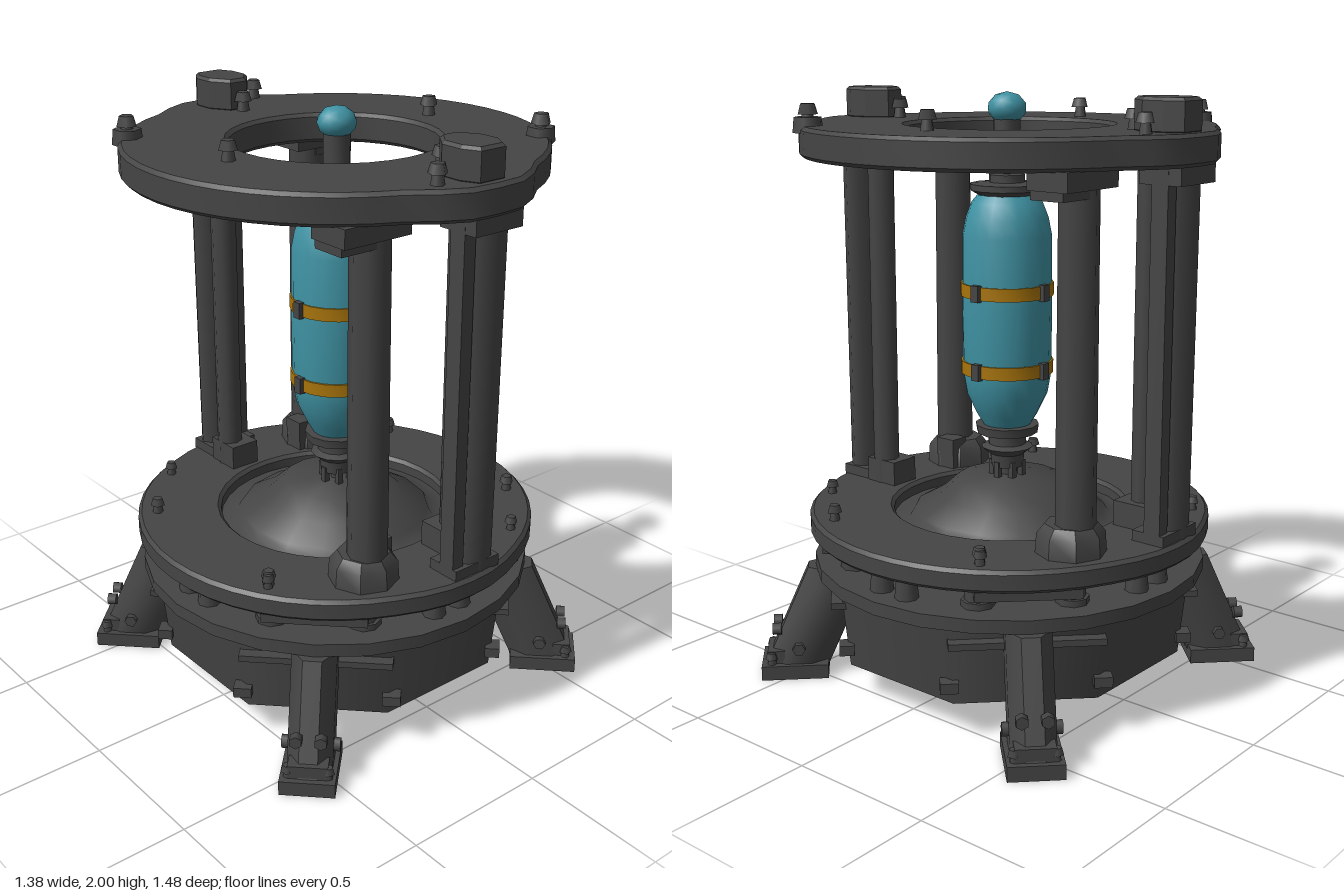
import * as THREE from 'three';
import { toCreasedNormals } from 'three/addons/utils/BufferGeometryUtils.js';

const mat = (name, color) => new THREE.MeshStandardMaterial({ name, color });

export function createModel() {
  const metal = mat('darkMetal', 0x454545);
  const teal = mat('tealGlass', 0x3f92a3);
  const amber = mat('amberBand', 0xa8740a);
  const root = new THREE.Group();
  root.name = 'containmentCapsule';

  const add = (parent, name, geo, x = 0, y = 0, z = 0, m = metal) => {
    const mesh = new THREE.Mesh(geo, m);
    mesh.name = name;
    mesh.position.set(x, y, z);
    parent.add(mesh);
    return mesh;
  };
  const group = (parent, name, angle = 0) => {
    const g = new THREE.Group();
    g.name = name;
    g.rotation.y = angle;
    parent.add(g);
    return g;
  };
  const box = (w, h, d) => new THREE.BoxGeometry(w, h, d);
  const cyl = (rt, rb, h, n = 10) => new THREE.CylinderGeometry(rt, rb, h, n);
  const lathe = (pts, n = 24, crease = 0.6) => toCreasedNormals(
    new THREE.LatheGeometry(pts.map(p => new THREE.Vector2(...p)), n), crease);
  const bolt = (parent, x, y, z, s = 1) => {
    add(parent, 'boltShank', cyl(0.014 * s, 0.022 * s, 0.05 * s, 6), x, y + 0.02 * s, z);
    add(parent, 'boltHead', cyl(0.02 * s, 0.028 * s, 0.028 * s, 5), x, y + 0.05 * s, z);
  };

  // Flat ring with lobes on the front and back of the rim
  const ring = (radius, hole, lobe, h) => {
    const b = 0.012, pts = [];
    for (let i = 0; i < 48; i++) {
      const a = i / 48 * Math.PI * 2;
      const off = Math.acos(Math.min(1, Math.abs(Math.sin(a))));
      const r = radius - b + lobe * THREE.MathUtils.clamp((0.4 - off) / 0.25, 0, 1);
      pts.push(new THREE.Vector2(Math.cos(a) * r, Math.sin(a) * r));
    }
    const s = new THREE.Shape(pts);
    s.holes.push(new THREE.Path().absarc(0, 0, hole + b, 0, Math.PI * 2, true));
    const g = new THREE.ExtrudeGeometry(s, {
      depth: h - 2 * b, bevelSize: b, bevelThickness: b, bevelSegments: 1, curveSegments: 16 });
    g.rotateX(-Math.PI / 2).translate(0, b, 0);
    return toCreasedNormals(g, 0.6);
  };

  // Base drum, disc and deck
  const base = group(root, 'base');
  add(base, 'drum', cyl(0.635, 0.605, 0.285, 8).rotateY(Math.PI / 8), 0, 0.255, 0);
  add(base, 'baseDisc', cyl(0.675, 0.675, 0.045, 24), 0, 0.412, 0);
  add(base, 'deckRing', ring(0.688, 0.4, 0.01, 0.075), 0, 0.525, 0);
  add(base, 'centreColumn', cyl(0.045, 0.045, 0.11), 0, 0.485, 0);
  add(base, 'dome', lathe([[0, 0.53], [0.41, 0.53], [0.41, 0.555], [0.345, 0.56], [0.33, 0.585],
    [0.24, 0.635], [0.18, 0.69], [0, 0.7]], 16, 1));

  // Slanted legs with feet, bars and spacer pads
  for (let i = 0; i < 4; i++) {
    const leg = group(root, 'leg', Math.PI / 4 + i * Math.PI / 2);
    const strut = cyl(0.1, 0.1, 0.36, 8).rotateY(Math.PI / 8).scale(0.8, 1, 1.2);
    const p = strut.attributes.position;
    for (let k = 0; k < p.count; k++) {
      const t = 0.5 - p.getY(k) / 0.36;
      p.setZ(k, p.getZ(k) + 0.59 + 0.16 * t);
    }
    strut.computeVertexNormals();
    add(leg, 'legStrut', toCreasedNormals(strut, 0.9), 0, 0.21, 0);
    add(leg, 'foot', box(0.18, 0.05, 0.23), 0, 0.025, 0.755);
    add(leg, 'footRidge', box(0.13, 0.05, 0.06), 0, 0.07, 0.82);
    for (const s of [-1, 1]) {
      bolt(leg, s * 0.065, 0.04, 0.835, 0.8);
      add(leg, 'sideBolt', cyl(0.022, 0.022, 0.03, 6).rotateZ(Math.PI / 2), s * 0.08, 0.11, 0.74);
      add(leg, 'legBolt', cyl(0.022, 0.022, 0.03, 6).rotateX(Math.PI / 2), s * 0.04, 0.17, 0.815);
      add(leg, 'drumLatch', box(0.06, 0.035, 0.05), s * 0.245, 0.18, 0.57);
      add(leg, 'spacerPost', cyl(0.04, 0.045, 0.1, 8), s * 0.15, 0.48, 0.53);
      add(leg, 'spacerCollar', cyl(0.055, 0.055, 0.022, 8), s * 0.15, 0.445, 0.53);
    }
    add(leg, 'drumBar', box(0.5, 0.022, 0.06), 0, 0.33, 0.59);
    add(leg, 'spacerPad', box(0.34, 0.035, 0.15), 0, 0.505, 0.57);
  }
  for (let i = 0; i < 4; i++) {
    const g = group(root, 'deckSpacer', i * Math.PI / 2);
    for (const s of [-1, 1]) {
      add(g, 'spacerPost', cyl(0.03, 0.04, 0.1, 8), s * 0.055, 0.48, 0.58);
    }
    bolt(g, 0.33, 0.595, 0.54, 0.8);
  }

  // Upper ring
  add(root, 'upperRing', ring(0.685, 0.34, 0.057, 0.1), 0, 1.797, 0);

  // Posts, brackets and ring fittings, turned half round for the back
  for (let i = 0; i < 2; i++) {
    const side = group(root, i ? 'backFrame' : 'frontFrame', i * Math.PI);
    add(side, 'mainPost', cyl(0.075, 0.07, 1.21, 8).scale(1, 1, 0.7), 0.055, 1.195, 0.635);
    add(side, 'mainPostRail', box(0.045, 1.2, 0.06), -0.038, 1.2, 0.635);
    add(side, 'mainPostBracket', box(0.19, 0.06, 0.15), 0.035, 1.77, 0.635);
    add(side, 'mainPostFoot', box(0.19, 0.04, 0.12), 0.035, 0.615, 0.62);
    add(side, 'innerPost', cyl(0.045, 0.045, 1.21, 8), 0.095, 1.195, 0.5);
    add(side, 'innerPostFoot', box(0.11, 0.09, 0.13), 0.08, 0.64, 0.49);
    add(side, 'sidePost', cyl(0.063, 0.066, 1.21, 8), -0.268, 1.195, 0.49);
    add(side, 'sidePostFoot', lathe([[0, 0], [0.115, 0], [0.11, 0.07], [0.085, 0.1], [0, 0.1]], 8),
      -0.265, 0.595, 0.47);
    add(side, 'footLug', box(0.07, 0.11, 0.08), -0.19, 0.655, 0.44);
    add(side, 'sidePostBracket', box(0.25, 0.06, 0.15), -0.3, 1.77, 0.49);
    add(side, 'bracketLip', box(0.16, 0.035, 0.12), -0.34, 1.73, 0.485);
    for (const s of [-1, 1]) bolt(side, s * 0.53, 0.595, 0.32, 0.9);

    // Tapered block on the ring
    const block = new THREE.Shape([[-0.045, -0.09], [0.04, -0.09], [0.068, -0.045], [0.068, 0.02],
      [0.03, 0.085], [-0.025, 0.085], [-0.068, 0.03], [-0.068, -0.04]]
      .map(q => new THREE.Vector2(...q)));
    const bg = new THREE.ExtrudeGeometry(block, { depth: 0.09, bevelSize: 0.01,
      bevelThickness: 0.01, bevelSegments: 1 });
    add(side, 'ringBlock', bg.rotateX(-Math.PI / 2), 0, 1.9, 0.61);
    for (const [x, z] of [[-0.15, 0.64], [0, 0.495], [0.445, -0.045]]) bolt(side, x, 1.89, z, 1.1);
    bolt(side, 0.52, 1.89, 0.4, 1.2);
    add(side, 'rimClamp', cyl(0.045, 0.05, 0.05, 6), 0.52, 1.9, 0.4);
  }

  // Capsule with its end fittings
  const capsule = group(root, 'capsule');
  add(capsule, 'capsuleBody', lathe([[0, 0.87], [0.075, 0.87], [0.105, 0.92], [0.138, 0.99],
    [0.15, 1.06], [0.152, 1.3], [0.15, 1.53], [0.138, 1.59], [0.118, 1.64], [0.092, 1.67],
    [0, 1.67]], 20), 0, 0, 0.01, teal);
  add(capsule, 'upperFitting', lathe([[0, 1.66], [0.09, 1.66], [0.125, 1.68], [0.125, 1.7],
    [0.06, 1.705], [0.06, 1.73], [0.045, 1.735], [0.045, 1.75], [0.06, 1.755], [0.06, 1.785],
    [0.045, 1.79], [0.045, 1.91], [0, 1.91]], 12), 0, 0, 0.01);
  add(capsule, 'lowerFitting', lathe([[0, 0.73], [0.055, 0.73], [0.06, 0.775], [0.09, 0.8],
    [0.065, 0.81], [0.065, 0.84], [0.105, 0.85], [0.11, 0.88], [0, 0.885]], 12), 0, 0, 0.01);
  add(capsule, 'stem', cyl(0.02, 0.02, 0.06, 8), 0, 0.71, 0.01);
  add(capsule, 'topBall', new THREE.IcosahedronGeometry(0.065, 1).scale(1, 0.82, 1),
    0, 1.945, 0.01, teal);
  for (let k = 0; k < 6; k++) {
    const a = k * Math.PI / 3;
    add(capsule, 'prong', box(0.02, 0.06, 0.02), Math.cos(a) * 0.05, 0.72, 0.01 + Math.sin(a) * 0.05);
  }
  for (const y of [1.085, 1.35]) {
    add(capsule, 'band', lathe([[0.145, y - 0.022], [0.157, y - 0.022], [0.157, y + 0.022],
      [0.145, y + 0.022]], 20), 0, 0, 0.01, amber);
    for (let k = 0; k < 4; k++) {
      const a = k * Math.PI / 2;
      const clip = add(capsule, 'bandClip', box(0.03, 0.055, 0.025),
        Math.sin(a) * 0.157, y, 0.01 + Math.cos(a) * 0.157);
      clip.rotation.y = a;
    }
  }
  return root;
}
